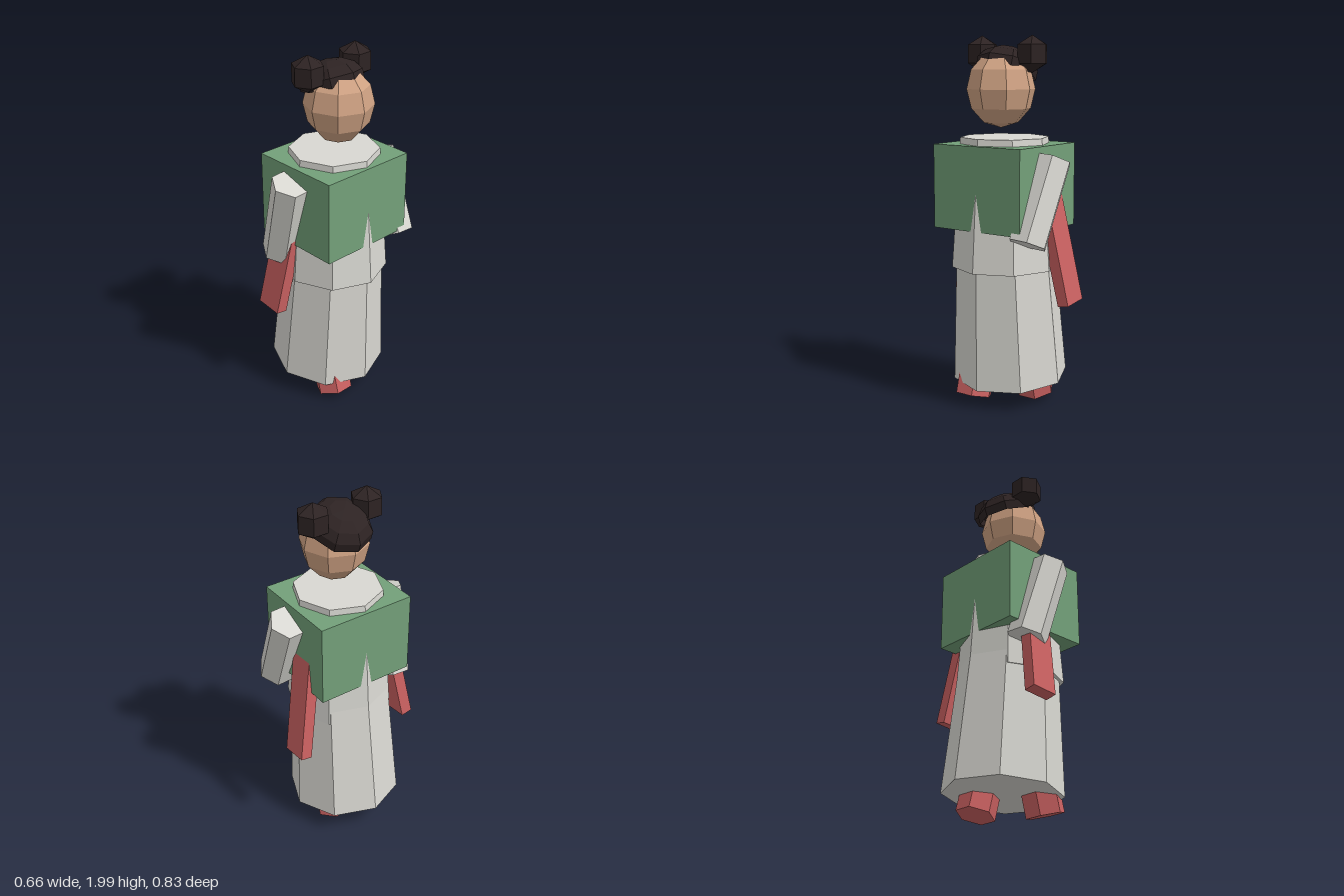
import * as THREE from 'three';

const V = (x, y, z) => new THREE.Vector3(x, y, z);
const flat = (name, color, side = THREE.FrontSide) => {
  const m = new THREE.MeshStandardMaterial({ color, flatShading: true, side });
  m.name = name;
  return m;
};

export function createModel() {
  const cloth = flat('pale cloth', 0xd9d8d2);
  const green = flat('green cloth', 0x73a079);
  const red = flat('red cloth', 0xcc6262);
  const skin = flat('skin', 0xcfa283);
  const dark = flat('dark hair', 0x2d2323, THREE.DoubleSide);

  const model = new THREE.Group();
  model.name = 'figure';

  const add = (name, geometry, material, x = 0, y = 0, z = 0) => {
    const mesh = new THREE.Mesh(geometry, material);
    mesh.name = name;
    mesh.position.set(x, y, z);
    model.add(mesh);
    return mesh;
  };

  // Places an upright geometry, made for a given length, between two points
  const between = (name, bottom, top, makeGeometry, material) => {
    const dir = top.clone().sub(bottom);
    const mesh = add(name, makeGeometry(dir.length()), material);
    mesh.position.copy(bottom).add(top).multiplyScalar(0.5);
    mesh.quaternion.setFromUnitVectors(V(0, 1, 0), dir.normalize());
    return mesh;
  };
  const prism = (rTop, rBottom, sides) => (h) => new THREE.CylinderGeometry(rTop, rBottom, h, sides);

  // Robe: upper body with collar, leaning skirt, square tunic
  between('upperRobe', V(0.04, 0.76, 0), V(0.04, 1.465, 0), prism(0.24, 0.29, 8), cloth);
  between('skirt', V(-0.015, 0.13, 0), V(0.045, 1.1, 0), prism(0.255, 0.318, 8), cloth);
  add('tunic', new THREE.BoxGeometry(0.52, 0.45, 0.56), green, 0.04, 1.205, 0);

  // Swinging sleeves
  between('leftSleeve', V(-0.092, 0.892, 0.268), V(0.048, 1.36, 0.305), prism(0.107, 0.107, 6), cloth);
  between('rightSleeve', V(0.228, 0.932, -0.278), V(0.04, 1.36, -0.307), prism(0.107, 0.107, 6), cloth);

  // Hanging sashes and striding legs, one per side
  for (const s of [1, -1]) {
    const side = s > 0 ? 'left' : 'right';
    between(side + 'Sash', V(-0.08, 0.573, 0.35 * s), V(-0.015, 1.22, 0.235 * s),
      (h) => new THREE.BoxGeometry(0.15, h, 0.066), red);
    const footX = s > 0 ? 0.172 : -0.092;
    between(side + 'Leg', V(footX, 0.033, 0.12 * s), V(footX - 0.13 * s, 0.52, 0.12 * s),
      prism(0.105, 0.105, 6), red);
  }

  // Head
  const head = add('head', new THREE.SphereGeometry(1, 8, 6), skin, 0.072, 1.72, 0);
  head.scale.set(0.186, 0.205, 0.184);

  // Hair cap tipped towards the back
  const cap = add('hairCap', new THREE.SphereGeometry(1, 8, 4, 0, Math.PI * 2, 0, 1.8), dark, 0.018, 1.828, 0);
  cap.scale.set(0.178, 0.112, 0.165);
  cap.rotation.z = 0.34;

  // Two hair buns
  for (const s of [1, -1]) {
    const bun = new THREE.SphereGeometry(0.098, 6, 3).rotateY(Math.PI / 6);
    add(s > 0 ? 'leftBun' : 'rightBun', bun, dark, 0.02, 1.902, 0.163 * s);
  }

  return model;
}
